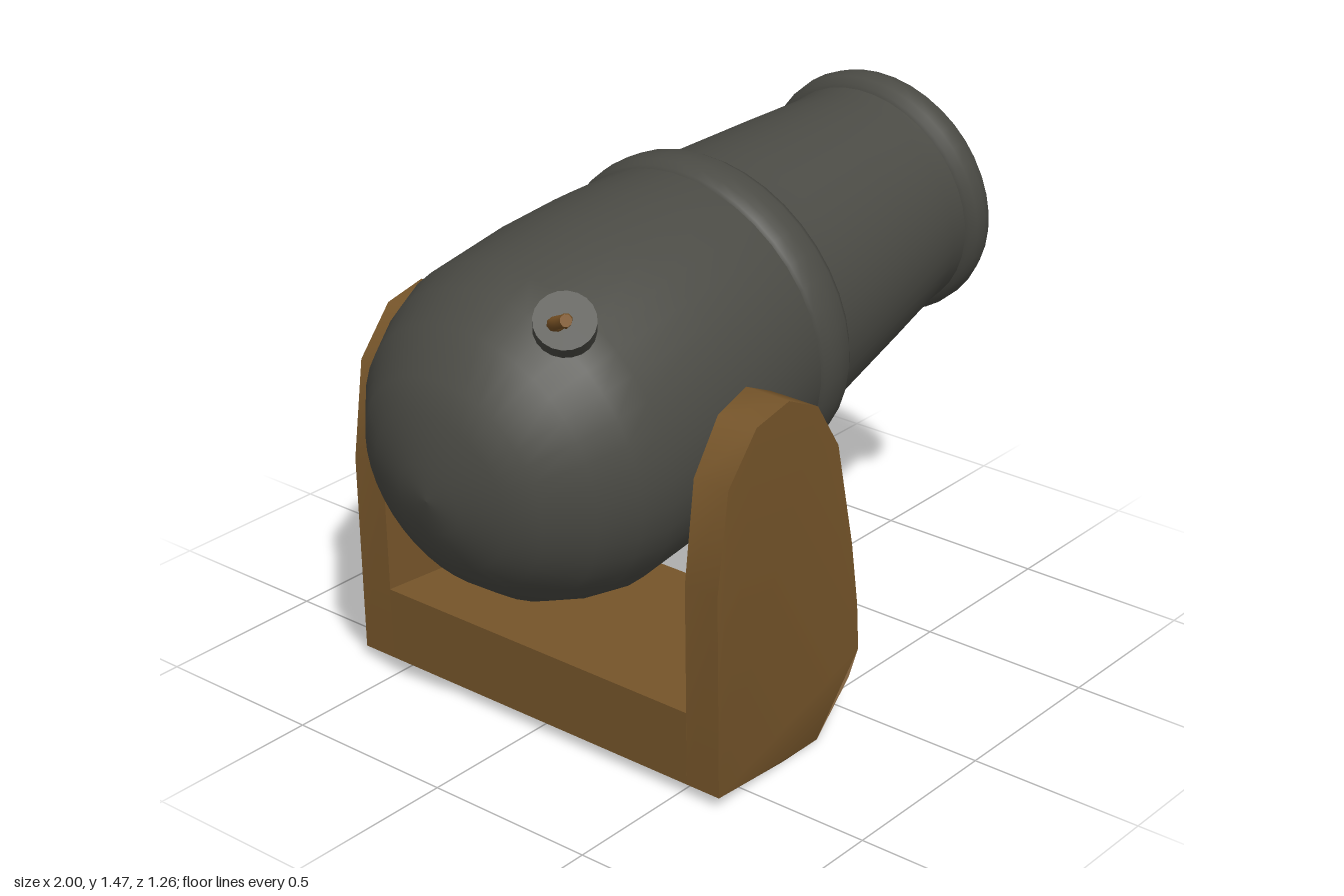
import * as THREE from 'three';
import { toCreasedNormals } from 'three/addons/utils/BufferGeometryUtils.js';

const iron = new THREE.MeshStandardMaterial({ color: 0x4b4b45 });
iron.name = 'iron';
const wood = new THREE.MeshStandardMaterial({ color: 0x76552a });
wood.name = 'wood';
const rope = new THREE.MeshStandardMaterial({ color: 0x7d5526 });
rope.name = 'rope';

function addMesh(parent, name, geometry, material) {
  const mesh = new THREE.Mesh(geometry, material);
  mesh.name = name;
  parent.add(mesh);
  return mesh;
}

// Profile points are [distance along the barrel, radius]
function turned(profile) {
  return new THREE.LatheGeometry(profile.map(([s, r]) => new THREE.Vector2(r, s)), 40);
}

// Inner face of each cheek narrows toward the front
const innerZ = (x) => 0.457 - 0.117 * (x + 0.03);

// Extrudes a side outline between two depth rules, z = near(x, y) and z = far(x, y)
function slab(outline, near, far) {
  const shape = new THREE.Shape(outline.map(([x, y]) => new THREE.Vector2(x, y)));
  const geometry = new THREE.ExtrudeGeometry(shape, { depth: 1, bevelEnabled: false });
  const p = geometry.attributes.position;
  for (let i = 0; i < p.count; i++) {
    const rule = p.getZ(i) < 0.5 ? near : far;
    p.setZ(i, rule(p.getX(i), p.getY(i)));
  }
  return toCreasedNormals(geometry, 0.7);
}

export function createModel() {
  const model = new THREE.Group();
  model.name = 'cannon';

  // Barrel, tilted up toward the muzzle
  const barrel = new THREE.Group();
  barrel.name = 'barrel';
  barrel.position.set(0, 0.977, 0);
  barrel.rotation.z = -Math.PI / 2 + 0.148;
  model.add(barrel);

  addMesh(barrel, 'barrelBody', turned([
    [-1.012, 0], [-1.002, 0.1], [-0.96, 0.22], [-0.915, 0.3], [-0.815, 0.395],
    [-0.71, 0.447], [-0.62, 0.475], [-0.345, 0.478], [-0.15, 0.467], [0.03, 0.447],
    [0.165, 0.422], [0.27, 0.408], [0.55, 0.373], [0.78, 0.342], [0.86, 0.34],
  ]), iron);
  addMesh(barrel, 'middleBand', turned([
    [0.02, 0.44], [0.03, 0.456], [0.055, 0.464], [0.09, 0.465],
    [0.135, 0.457], [0.16, 0.44], [0.172, 0.41],
  ]), iron);
  addMesh(barrel, 'muzzleLip', turned([
    [0.835, 0.33], [0.843, 0.352], [0.865, 0.365], [0.9, 0.367], [0.932, 0.357],
    [0.955, 0.336], [0.964, 0.31], [0.96, 0.288], [0.93, 0.28],
  ]), iron);
  addMesh(barrel, 'bore', turned([
    [0.935, 0.28], [0.65, 0.275], [0.4, 0.265], [0.28, 0.23], [0.2, 0.13], [0.17, 0],
  ]), iron);

  // Fuse plug, standing on the rounded breech
  const out = new THREE.Vector3(-0.5, 0.725, 0.46).normalize();
  const plug = addMesh(model, 'fusePlug',
    toCreasedNormals(new THREE.CylinderGeometry(0.08, 0.08, 0.1, 20), 0.7), iron);
  plug.position.set(-0.725, 1.265, 0.225);
  plug.quaternion.setFromUnitVectors(new THREE.Vector3(0, 1, 0), out);

  // Crooked fuse with a closed tip
  const points = [
    [-0.73, 1.275, 0.23], [-0.77, 1.31, 0.265], [-0.81, 1.338, 0.305],
    [-0.865, 1.347, 0.325], [-0.9, 1.368, 0.345], [-0.932, 1.405, 0.415],
  ].map((p) => new THREE.Vector3(...p));
  const path = new THREE.CatmullRomCurve3(points);
  addMesh(model, 'fuse', new THREE.TubeGeometry(path, 20, 0.016, 8), rope);
  const tip = addMesh(model, 'fuseTip', new THREE.CircleGeometry(0.016, 8), rope);
  tip.position.copy(path.getPoint(1));
  tip.quaternion.setFromUnitVectors(new THREE.Vector3(0, 0, 1), path.getTangent(1));

  // Stand: two rounded cheeks joined by a crossbar of the same lower outline
  const stand = new THREE.Group();
  stand.name = 'stand';
  model.add(stand);
  const lower = [[-0.62, 0.035], [-0.33, 0], [-0.18, 0], [-0.07, 0.15], [-0.03, 0.22]];
  const cheek = [
    ...lower, [-0.04, 0.36], [-0.07, 0.55], [-0.14, 0.86], [-0.23, 1.0],
    [-0.35, 1.057], [-0.48, 1.03], [-0.59, 0.9], [-0.63, 0.62],
  ];
  const outerZ = (x, y) => (y < 0.01 ? 0.612 : 0.632);
  addMesh(stand, 'leftCheek', slab(cheek, innerZ, outerZ), wood);
  addMesh(stand, 'rightCheek',
    slab(cheek, (x, y) => -outerZ(x, y), (x) => -innerZ(x)), wood);
  addMesh(stand, 'crossbar',
    slab([...lower, [-0.032, 0.25], [-0.625, 0.25]], (x) => -innerZ(x), innerZ), wood);

  return model;
}
